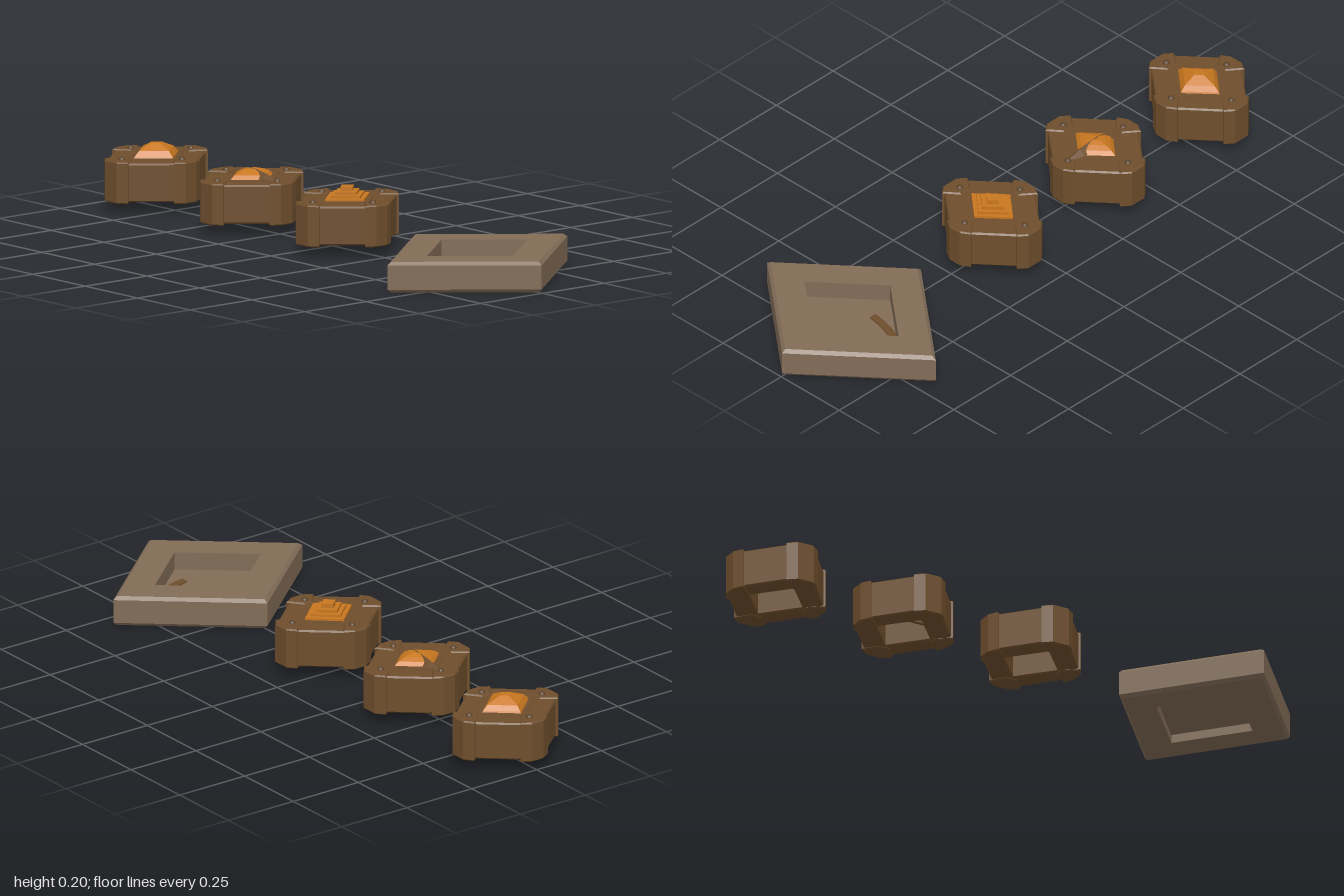
import * as THREE from 'three';

const mat = (name, color) => {
  const m = new THREE.MeshStandardMaterial({ color });
  m.name = name;
  return m;
};
const P = (list) => list.map(([x, y]) => new THREE.Vector2(x, y));

export function createModel() {
  const stone = mat('taupe stone', 0x826c57);
  const brown = mat('brown casing', 0x6e4e2c);
  const dark = mat('dark stud', 0x5a432b);
  const amber = mat('amber gem', 0xc8771f);
  const root = new THREE.Group();
  root.name = 'diamondBoxSet';

  const add = (parent, geo, material, name) => {
    const mesh = new THREE.Mesh(geo, material);
    mesh.name = name;
    parent.add(mesh);
    return mesh;
  };

  // Four-sided turned solid with corners on the axes; profile is [radius along z, height]
  const diamond = (profile, xScale) => {
    const g = new THREE.LatheGeometry(P(profile), 4).toNonIndexed();
    g.scale(xScale, 1, 1);
    g.computeVertexNormals();
    return g;
  };

  // Flat outline raised from y0 to y1 with a small chamfer
  const prism = (outline, y0, y1, bevel, hole) => {
    const shape = new THREE.Shape(P(outline));
    if (hole) shape.holes.push(new THREE.Path(P(hole)));
    const g = new THREE.ExtrudeGeometry(shape, {
      depth: y1 - y0 - 2 * bevel, bevelEnabled: true, bevelSize: bevel,
      bevelThickness: bevel, bevelOffset: -bevel, bevelSegments: 1,
    });
    g.rotateX(-Math.PI / 2);
    g.translate(0, y0 + bevel, 0);
    return g;
  };

  // Large socket block, recessed above and below a thin floor
  const socket = new THREE.Group();
  socket.name = 'socketBlock';
  socket.position.x = 0.69;
  root.add(socket);
  const sx = 0.84;
  add(socket, diamond([[0.203, 0], [0.348, 0], [0.364, 0.011], [0.364, 0.087],
    [0.348, 0.097], [0.203, 0.097], [0.203, 0]], sx), stone, 'socketFrame');
  add(socket, diamond([[0, 0.027], [0.204, 0.027], [0.204, 0.04], [0, 0.04]], sx), stone, 'socketFloor');

  // Curved inlay on the socket floor
  const arch = new THREE.Shape();
  arch.moveTo(-0.085, 0.02);
  arch.quadraticCurveTo(-0.07, 0.16, 0, 0.198);
  arch.quadraticCurveTo(0.07, 0.16, 0.092, 0.03);
  arch.lineTo(0.066, 0.03);
  arch.quadraticCurveTo(0.04, 0.14, 0, 0.158);
  arch.quadraticCurveTo(-0.045, 0.14, -0.06, 0.02);
  const inlay = new THREE.ExtrudeGeometry(arch, { depth: 0.004, bevelEnabled: false });
  inlay.rotateX(-Math.PI / 2);
  add(socket, inlay, brown, 'floorInlay').position.y = 0.04;

  // Casing shared by the three small boxes
  const outline = [[0.162, -0.024], [0.162, 0.024], [0.03, 0.18], [-0.03, 0.18],
    [-0.162, 0.024], [-0.162, -0.024], [-0.03, -0.18], [0.03, -0.18]];
  const opening = [[0.095, 0], [0, 0.108], [-0.095, 0], [0, -0.108]];
  const bodyGeo = prism(outline, 0.038, 0.16, 0.005, opening);
  const sideCap = [[0.166, -0.022], [0.166, 0.022], [0.147, 0.053], [0.1, 0.016], [0.1, -0.016], [0.147, -0.053]];
  const endCap = [[0.028, 0.184], [-0.028, 0.184], [-0.056, 0.161], [-0.02, 0.115], [0.02, 0.115], [0.056, 0.161]];
  const capGeos = [prism(sideCap, 0.033, 0.164, 0.004), prism(endCap, 0.033, 0.164, 0.004)];
  const studGeo = new THREE.SphereGeometry(0.011, 10, 5, 0, Math.PI * 2, 0, Math.PI / 2);
  const bx = 0.88;
  const seatGeo = diamond([[0, 0.148], [0.115, 0.148], [0.115, 0.161], [0, 0.161]], bx);

  const makeBox = (name, x) => {
    const box = new THREE.Group();
    box.name = name;
    box.position.x = x;
    root.add(box);
    add(box, bodyGeo, brown, 'casing');
    add(box, seatGeo, brown, 'gemSeat');
    for (let i = 0; i < 4; i++) {
      const turn = i < 2 ? 0 : Math.PI;
      add(box, capGeos[i % 2], brown, 'cornerCap').rotation.y = turn;
      const s = i < 2 ? 1 : -1;
      const stud = add(box, studGeo, dark, 'stud');
      stud.position.set(i % 2 ? 0 : s * 0.122, 0.162, i % 2 ? s * 0.14 : 0);
    }
    return box;
  };

  // Box with a faceted dome gem
  const domeBox = makeBox('domeBox', -0.84);
  add(domeBox, diamond([[0.092, 0.158], [0.086, 0.166], [0.07, 0.181], [0.045, 0.191],
    [0.022, 0.2], [0, 0.2]], bx), amber, 'domeGem');

  // Box with a low gem split by a pointed blade
  const bladeBox = makeBox('bladeBox', -0.385);
  add(bladeBox, diamond([[0.09, 0.158], [0.07, 0.172], [0.045, 0.181], [0.02, 0.187], [0, 0.187]], bx), amber, 'lowGem');
  const spindle = diamond([[0, -0.135], [0.018, -0.07], [0.028, 0], [0.018, 0.07], [0, 0.135]], 1);
  spindle.rotateZ(Math.PI / 2);
  add(bladeBox, spindle, brown, 'bladeRidge').position.y = 0.162;
  const keel = new THREE.BoxGeometry(0.18, 0.07, 0.012);
  add(bladeBox, keel, brown, 'bladeKeel').position.y = 0.12;

  // Box with a stepped gem
  const stepBox = makeBox('stepBox', 0.07);
  [[0.09, 0.168], [0.07, 0.176], [0.05, 0.186], [0.028, 0.2]].forEach(([r, top]) => {
    add(stepBox, diamond([[r, 0.158], [r, top], [0, top]], bx), amber, 'gemStep');
  });

  return root;
}
